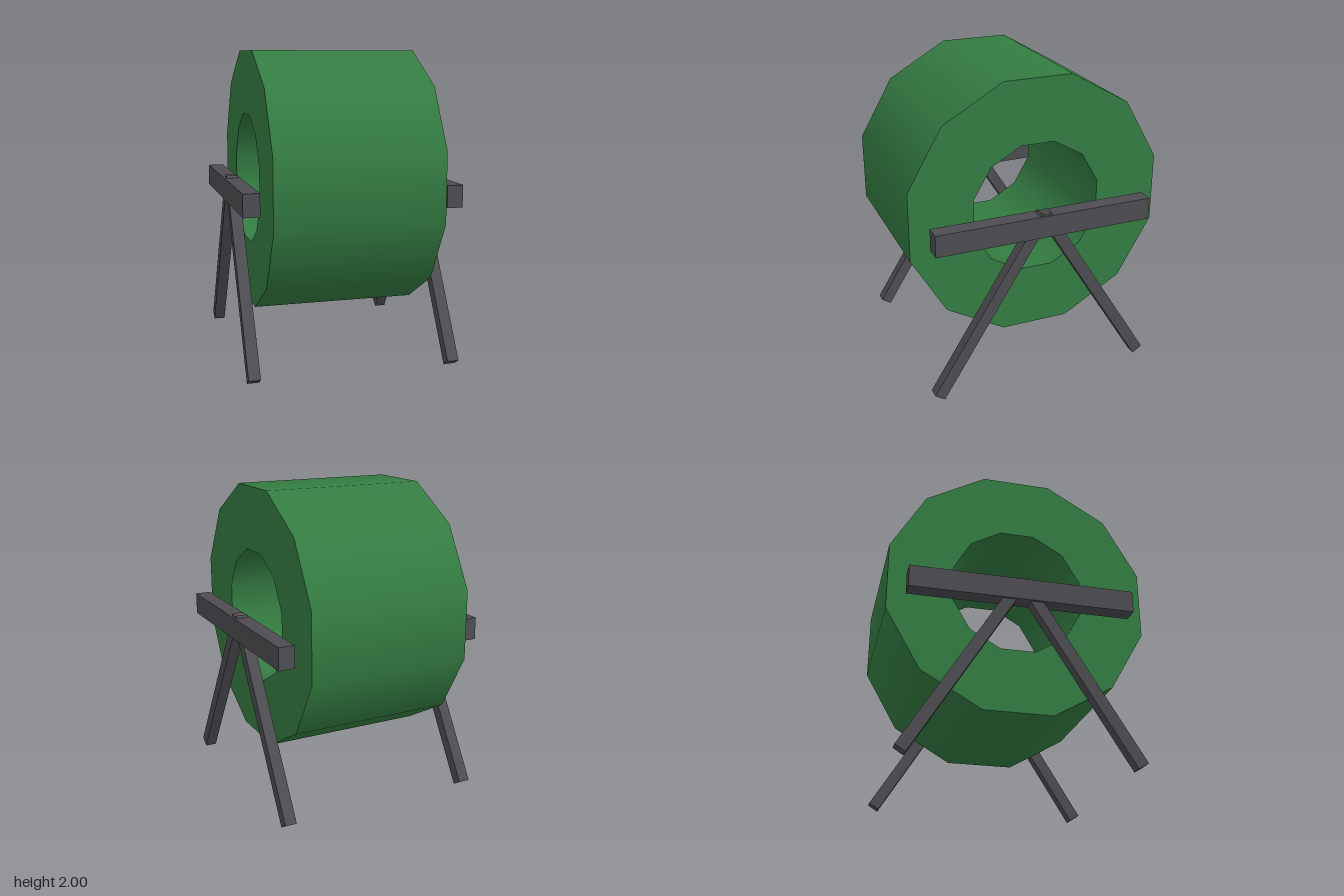
import * as THREE from 'three';
import { mergeGeometries } from 'three/addons/utils/BufferGeometryUtils.js';

const SIDES = 12;
const HUB_Y = 1.17;

// Hollow drum along x: each profile edge is its own lathe so rims stay sharp
function drumGeometry(outer, inner, half) {
  const k = 1 / Math.cos(Math.PI / SIDES);
  const loop = [[inner, -half], [outer, -half], [outer, half], [inner, half]]
    .map(([r, y]) => new THREE.Vector2(r * k, y));
  const faces = loop.map((p, i) =>
    new THREE.LatheGeometry([p, loop[(i + 1) % loop.length]], SIDES, Math.PI / SIDES));
  return mergeGeometries(faces).rotateZ(Math.PI / 2);
}

export function createModel() {
  const model = new THREE.Group();
  model.name = 'drumOnStand';

  const green = new THREE.MeshStandardMaterial({ color: 0x347c42 });
  green.name = 'green';
  const darkGrey = new THREE.MeshStandardMaterial({ color: 0x4d4c51 });
  darkGrey.name = 'darkGrey';

  // Drum
  const drum = new THREE.Mesh(drumGeometry(0.83, 0.418, 0.537), green);
  drum.name = 'drum';
  drum.position.y = HUB_Y;
  model.add(drum);

  // Stands: a crossbar and two splayed legs on each side
  const barGeometry = new THREE.BoxGeometry(0.104, 0.143, 1.436);
  const footZ = 0.717, footY = 0.02, topY = 1.17;
  const legGeometry = new THREE.BoxGeometry(0.075, Math.hypot(footZ, topY - footY), 0.075);
  for (const side of [1, -1]) {
    const stand = new THREE.Group();
    stand.name = side > 0 ? 'leftStand' : 'rightStand';
    stand.position.x = side * 0.643;

    const bar = new THREE.Mesh(barGeometry, darkGrey);
    bar.name = 'crossbar';
    bar.position.y = 1.1;
    stand.add(bar);

    for (const end of [1, -1]) {
      const leg = new THREE.Mesh(legGeometry, darkGrey);
      leg.name = end > 0 ? 'frontLeg' : 'backLeg';
      leg.position.set(0, (footY + topY) / 2, end * footZ / 2);
      leg.rotation.x = -end * Math.atan2(footZ, topY - footY);
      stand.add(leg);
    }
    model.add(stand);
  }
  return model;
}
